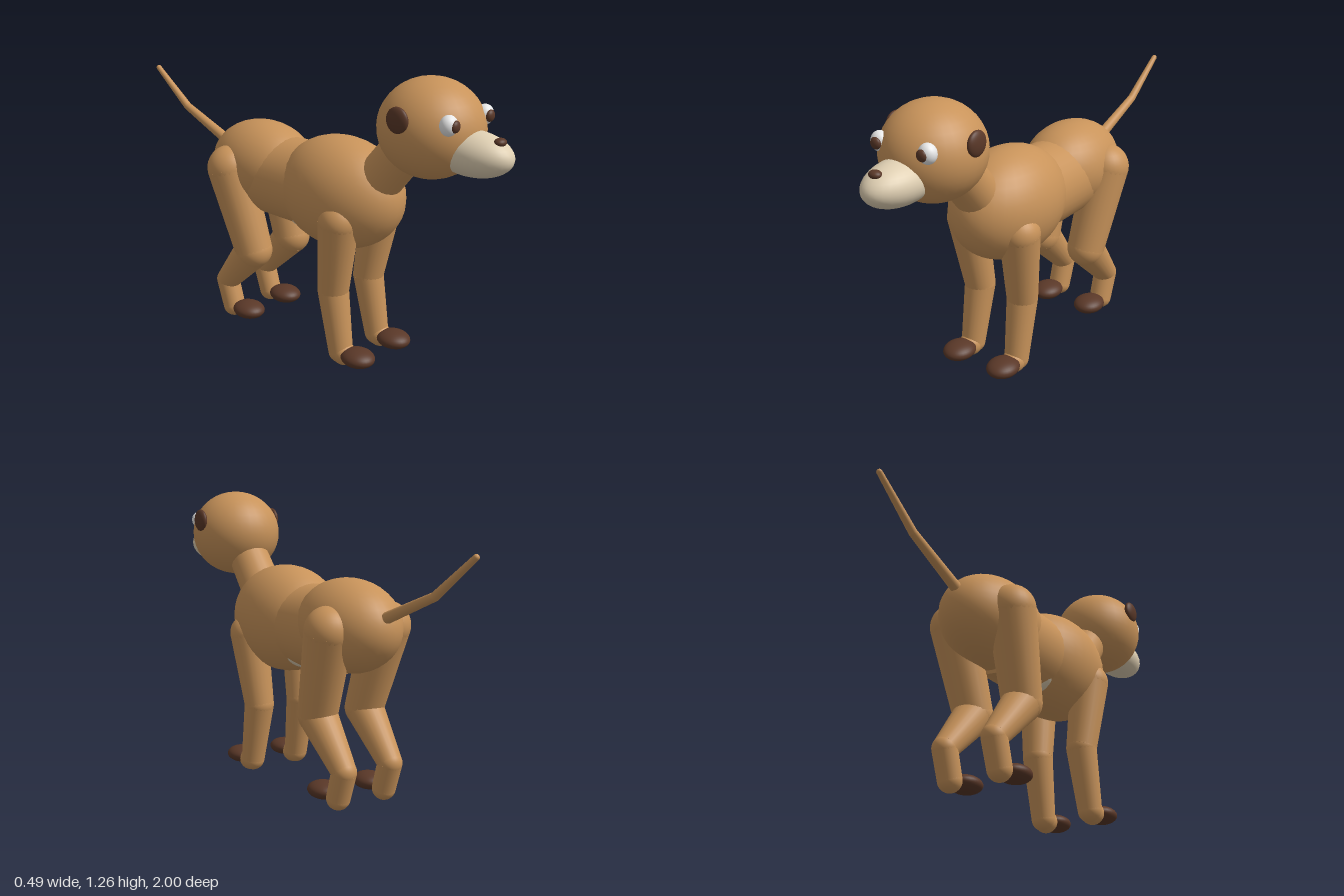
import * as THREE from 'three';

const mat = (name, color) => {
  const m = new THREE.MeshStandardMaterial({ color });
  m.name = name;
  return m;
};

export function createModel() {
  const model = new THREE.Group();
  model.name = 'animal';
  const fur = mat('tan fur', 0xc8935a);
  const dark = mat('dark brown', 0x5a3828);
  const cream = mat('cream', 0xdfcfb2);
  const white = mat('eye white', 0xf2f2f2);

  const add = (parent, name, geometry, material) => {
    const mesh = new THREE.Mesh(geometry, material);
    mesh.name = name;
    parent.add(mesh);
    return mesh;
  };

  // Ellipsoid from its centre and three radii
  const blob = (parent, name, c, r, material) => {
    const g = new THREE.SphereGeometry(1, 32, 20);
    g.scale(...r);
    const mesh = add(parent, name, g, material);
    mesh.position.set(...c);
    return mesh;
  };

  // Tapered limb between two points
  const limb = (parent, name, a, b, ra, rb, material = fur) => {
    const from = new THREE.Vector3(...a), to = new THREE.Vector3(...b);
    const dir = to.clone().sub(from);
    const mesh = add(parent, name, new THREE.CylinderGeometry(rb, ra, dir.length(), 24), material);
    mesh.position.copy(from).addScaledVector(dir, 0.5);
    mesh.quaternion.setFromUnitVectors(new THREE.Vector3(0, 1, 0), dir.normalize());
    return mesh;
  };

  // Chain of limbs with a ball at every joint: [x, y, z, radius]
  const chain = (parent, name, joints) => {
    joints.forEach(([x, y, z, r], i) => {
      blob(parent, name + 'Joint', [x, y, z], [r, r, r], fur);
      if (i === 0) return;
      const p = joints[i - 1];
      limb(parent, name + 'Segment', p.slice(0, 3), [x, y, z], p[3], r);
    });
  };

  const group = (name) => {
    const g = new THREE.Group();
    g.name = name;
    model.add(g);
    return g;
  };

  // Body
  const body = group('body');
  blob(body, 'chest', [0, 0.715, 0.2], [0.21, 0.235, 0.298], fur);
  blob(body, 'hips', [0, 0.735, -0.26], [0.19, 0.195, 0.265], fur);
  const waist = new THREE.CylinderGeometry(1, 1, 0.4, 32);
  waist.rotateX(Math.PI / 2);
  waist.scale(0.173, 0.18, 1);
  add(body, 'waist', waist, fur).position.set(0, 0.705, -0.03);
  blob(body, 'bellyPatch', [0, 0.6, 0.025], [0.12, 0.084, 0.06], cream);
  limb(body, 'neck', [0, 0.74, 0.34], [0, 1.0, 0.555], 0.097, 0.09);

  // Head
  const head = group('head');
  blob(head, 'skull', [0, 1.072, 0.643], [0.2, 0.193, 0.21], fur);
  blob(head, 'muzzle', [0, 1.012, 0.83], [0.1, 0.086, 0.17], cream);
  blob(head, 'nose', [0, 1.075, 0.945], [0.026, 0.016, 0.022], dark);
  for (const s of [-1, 1]) {
    blob(head, 'eye', [s * 0.112, 1.13, 0.8], [0.036, 0.039, 0.033], white);
    blob(head, 'pupil', [s * 0.108, 1.13, 0.826], [0.023, 0.023, 0.015], dark);
    blob(head, 'ear', [s * 0.193, 1.134, 0.633], [0.02, 0.05, 0.049], dark);
  }

  // Legs and feet
  for (const s of [-1, 1]) {
    const side = s > 0 ? 'left' : 'right';
    const front = group(side + 'FrontLeg');
    chain(front, 'frontLeg', [
      [s * 0.134, 0.645, 0.305, 0.085],
      [s * 0.112, 0.325, 0.26, 0.066],
      [s * 0.117, 0.06, 0.31, 0.052],
    ]);
    blob(front, 'ankle', [s * 0.117, 0.054, 0.33], [0.05, 0.05, 0.05], fur);
    blob(front, 'frontFoot', [s * 0.117, 0.062, 0.405], [0.067, 0.037, 0.076], dark);

    const hind = group(side + 'HindLeg');
    chain(hind, 'hindLeg', [
      [s * 0.145, 0.733, -0.325, 0.101],
      [s * 0.12, 0.37, -0.212, 0.083],
      [s * 0.117, 0.17, -0.393, 0.052],
      [s * 0.117, 0.052, -0.355, 0.05],
    ]);
    blob(hind, 'hindFoot', [s * 0.117, 0.062, -0.255], [0.067, 0.037, 0.077], dark);
  }

  // Tail
  chain(group('tail'), 'tail', [
    [0, 0.775, -0.46, 0.025],
    [0, 0.903, -0.78, 0.018],
    [0, 1.058, -0.987, 0.012],
  ]);

  return model;
}
